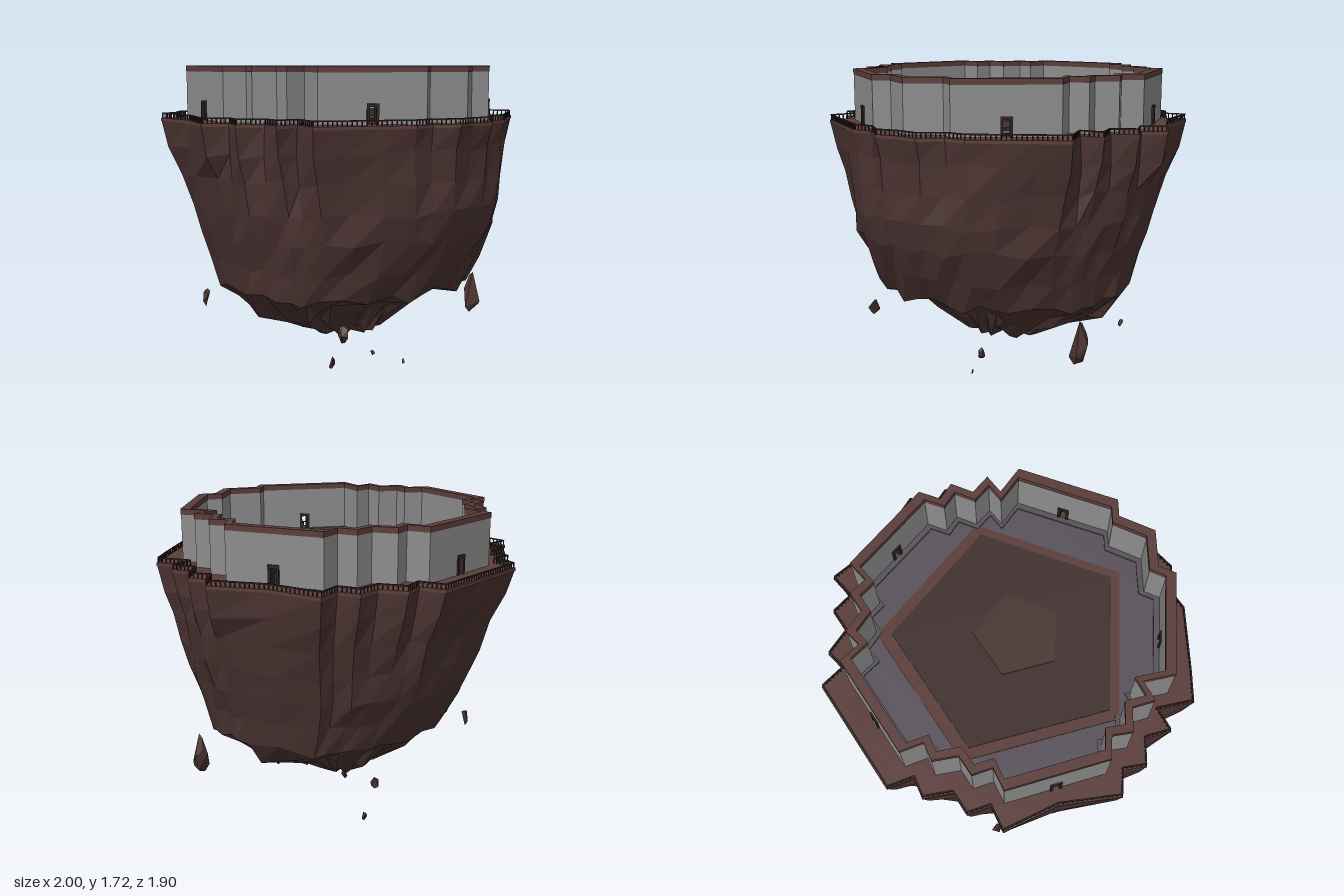
import * as THREE from 'three';
import { mergeGeometries } from 'three/addons/utils/BufferGeometryUtils.js';
import { ConvexGeometry } from 'three/addons/geometries/ConvexGeometry.js';

const mat = (color) => new THREE.MeshStandardMaterial({ color, flatShading: true, side: THREE.DoubleSide });
const MAT = {
  rock: mat(0x4a3331), maroon: mat(0x5a3d3a), dark: mat(0x3f302e), centre: mat(0x483732),
  floor: mat(0x58515a), wall: mat(0x8c8c8c), rail: mat(0x2e2423),
};
const DECK = 1.43;

// Half outlines run from the back centre round the left side to the front centre
const CORNERS = [[0.82, -0.59], [1, 0], [0.89, 0.08], [0.94, 0.19], [0.82, 0.27], [0.86, 0.4], [0.73, 0.41], [0.8, 0.59]];
const BACK = [[0.32, -0.95], [0.35, -0.81], [0.46, -0.83], [0.52, -0.69], [0.65, -0.69], [0.68, -0.57]];
const deckHalf = [[0, -0.95], [0.16, -0.95], ...BACK, CORNERS[0], [0.86, -0.29], ...CORNERS.slice(1),
  [0.66, 0.68], [0.51, 0.77], [0.36, 0.86], [0.24, 0.86], [0.13, 0.95], [0, 0.93]];
const wallHalf = [...scale([...BACK, ...CORNERS], 0.857), [0.25, 0.83], [0.17, 0.78], [0, 0.885]];

function scale(pts, s) { return pts.map(([x, z]) => [x * s, z * s]); }
// Adds the -x half to a half outline
function mirror(half) {
  return [...half, ...half.filter(([x]) => x > 0).reverse().map(([x, z]) => [-x, z])];
}
const lerp = (a, b, t) => [a[0] + (b[0] - a[0]) * t, a[1] + (b[1] - a[1]) * t];
const toShape = (pts, Type = THREE.Shape) => new Type(pts.map(([x, z]) => new THREE.Vector2(x, -z)));

// Upright prism over an outline in x and z, with an optional hole
function prism(pts, y0, y1, hole) {
  const shape = toShape(pts);
  if (hole) shape.holes.push(toShape(hole, THREE.Path));
  return new THREE.ExtrudeGeometry(shape, { depth: y1 - y0, bevelEnabled: false })
    .rotateX(-Math.PI / 2).translate(0, y0, 0);
}
const pentagon = (r, cz) => Array.from({ length: 5 }, (_, i) => {
  const a = (i * 2 * Math.PI) / 5;
  return [r * Math.sin(a), cz + r * Math.cos(a)];
});
// Box whose length follows the line from a to b
function beam(a, b, y0, y1, depth) {
  const dx = b[0] - a[0], dz = b[1] - a[1];
  return new THREE.BoxGeometry(Math.hypot(dx, dz), y1 - y0, depth)
    .rotateY(-Math.atan2(dz, dx))
    .translate((a[0] + b[0]) / 2, (y0 + y1) / 2, (a[1] + b[1]) / 2);
}
const noise = (i, j) => {
  const s = Math.sin(i * 127.1 + j * 311.7) * 43758.5453;
  return (s - Math.floor(s)) * 2 - 1;
};

// Rock body: rings fade from the jagged deck outline to a rounded, broken underside
// Row: height at side, front, back; half width, front depth, back depth; share of jagged outline
function rockGeometry() {
  const rows = [
    [1.43, 1.43, 1.43, 1, 0.95, 0.95, 1],
    [1.28, 1.3, 1.3, 0.97, 0.93, 0.88, 0.8],
    [1.14, 1.14, 1.13, 0.91, 0.94, 0.83, 0.45],
    [0.97, 0.99, 0.96, 0.86, 0.92, 0.8, 0.22],
    [0.82, 0.85, 0.8, 0.81, 0.89, 0.76, 0.1],
    [0.66, 0.67, 0.66, 0.77, 0.8, 0.69, 0.04],
    [0.52, 0.52, 0.53, 0.74, 0.7, 0.6, 0],
    [0.4, 0.5, 0.46, 0.6, 0.46, 0.47, 0],
    [0.33, 0.38, 0.34, 0.46, 0.3, 0.36, 0],
    [0.23, 0.24, 0.22, 0.24, 0.2, 0.23, 0],
    [0.2, 0.2, 0.2, 0, 0, 0, 0],
  ];
  const cols = mirror(deckHalf), n = cols.length;
  const pos = [], index = [];
  rows.forEach(([ys, yf, yb, w, f, b, jag], r) => cols.forEach(([x, z], i) => {
    const len = Math.hypot(x, z), c = x / len, s = z / len;
    const k = Math.min(i, n - i);
    const rough = r > 0 && r < rows.length - 1 ? 1 : 0;
    const bump = 1 + rough * (r > 6 ? 0.1 : 0.025) * noise(k, r);
    const px = w * c * bump, pz = (s > 0 ? f : b) * s * bump;
    const dip = rough * (r > 5 ? 0.03 : 0.02) * noise(k + 40, r);
    const y = ys + ((s > 0 ? yf : yb) - ys) * s * s + dip;
    const t = r === 0 ? 1 : jag;
    pos.push(px + (x * w - px) * t, Math.max(y, 0.2), pz + (z * w - pz) * t);
  }));
  for (let r = 0; r < rows.length - 1; r++) for (let i = 0; i < n; i++) {
    const j = (i + 1) % n, a = r * n + i, d = r * n + j, b = a + n, c = d + n;
    index.push(b, a, c, a, d, c);
  }
  const g = new THREE.BufferGeometry();
  g.setAttribute('position', new THREE.Float32BufferAttribute(pos, 3));
  g.setIndex(index);
  g.computeVertexNormals();
  return g;
}

// Wall panels follow each edge; long edges get a doorway
function wallGeometries() {
  const outer = mirror(wallHalf), inner = scale(outer, 0.945);
  const walls = [], frames = [], top = 1.53;
  outer.forEach((a, i) => {
    const j = (i + 1) % outer.length, b = outer[j];
    const len = Math.hypot(b[0] - a[0], b[1] - a[1]);
    const panel = (t0, t1, y0, y1) => walls.push(prism([lerp(a, b, t0), lerp(a, b, t1),
      lerp(inner[i], inner[j], t1), lerp(inner[i], inner[j], t0)], y0, y1));
    if (len < 0.4) return panel(0, 1, DECK, 1.685);
    const h = 0.024 / len, e = 0.007 / len;
    panel(0, 0.5 - h, DECK, top);
    panel(0.5 + h, 1, DECK, top);
    panel(0, 1, top, 1.685);
    const p = (t) => lerp(lerp(a, b, t), lerp(inner[i], inner[j], t), 0.5);
    frames.push(beam(p(0.5 - h - e), p(0.5 - h + e), DECK, top, 0.062),
      beam(p(0.5 + h - e), p(0.5 + h + e), DECK, top, 0.062),
      beam(p(0.5 - h - e), p(0.5 + h + e), top - 0.012, top + 0.004, 0.062));
  });
  return { walls: mergeGeometries(walls), frames: mergeGeometries(frames), outer, inner };
}

// Railing: closely spaced posts under a thin handrail
function railingGeometry() {
  const line = scale(mirror(deckHalf), 0.99), parts = [];
  line.forEach((a, i) => {
    const b = line[(i + 1) % line.length];
    const count = Math.max(2, Math.round(Math.hypot(b[0] - a[0], b[1] - a[1]) / 0.024));
    for (let k = 0; k < count; k++) {
      const [x, z] = lerp(a, b, k / count);
      parts.push(new THREE.BoxGeometry(0.005, 0.028, 0.005).translate(x, DECK + 0.014, z));
    }
    parts.push(beam(a, b, 1.454, 1.461, 0.008));
  });
  return mergeGeometries(parts);
}

// Angular loose stone
function stone(w, h, d, seed) {
  const pts = [];
  for (let k = 0; k < 10; k++) {
    const v = new THREE.Vector3(noise(k, seed), noise(k + 20, seed), noise(k + 50, seed)).normalize();
    pts.push(v.multiply(new THREE.Vector3(w / 2, h / 2, d / 2)));
  }
  pts.push(new THREE.Vector3(w * 0.15, h / 2, 0), new THREE.Vector3(-w * 0.1, -h / 2, 0));
  return new ConvexGeometry(pts);
}

export function createModel() {
  const model = new THREE.Group();
  const add = (name, geometry, material) => {
    const mesh = new THREE.Mesh(geometry, material);
    mesh.name = name;
    model.add(mesh);
    return mesh;
  };
  add('rockBody', rockGeometry(), MAT.rock);
  add('deck', prism(mirror(deckHalf), DECK - 0.015, DECK + 0.002), MAT.maroon);
  add('railing', railingGeometry(), MAT.rail);

  const { walls, frames, outer, inner } = wallGeometries();
  add('wall', walls, MAT.wall);
  add('doorFrames', frames, MAT.rail);
  add('wallCap', prism(scale(outer, 1.003), 1.685, 1.715, scale(inner, 0.995)), MAT.maroon);

  // Courtyard layers
  add('courtyardFloor', prism(inner, DECK, 1.436), MAT.floor);
  add('courtyardLedge', prism(inner, DECK, 1.445, scale(inner, 0.96)), MAT.floor);
  add('courtyardBorder', prism(pentagon(0.697, 0), DECK, 1.441), MAT.maroon);
  add('courtyardPaving', prism(pentagon(0.63, 0.01), DECK, 1.446), MAT.dark);
  add('courtyardCentre', prism(pentagon(0.238, 0.047), DECK, 1.451), MAT.centre);

  // Loose stones: x, y, z, width, height, depth
  [[0.71, 0.36, 0.39, 0.13, 0.24, 0.12], [-0.55, 0.37, 0.54, 0.06, 0.09, 0.08],
    [-0.6, 0.4, -0.5, 0.06, 0.1, 0.06], [0.2, 0.24, -0.44, 0.05, 0.07, 0.05],
    [0.45, 0.17, -0.56, 0.04, 0.05, 0.03], [-0.15, 0.035, 0.06, 0.05, 0.07, 0.04],
    [0, 0.1, 0.24, 0.02, 0.03, 0.04], [0.06, 0.075, 0.42, 0.02, 0.03, 0.02],
  ].forEach(([x, y, z, w, h, d], i) => add('looseStone', stone(w, h, d, i + 1), MAT.rock).position.set(x, y, z));
  return model;
}
